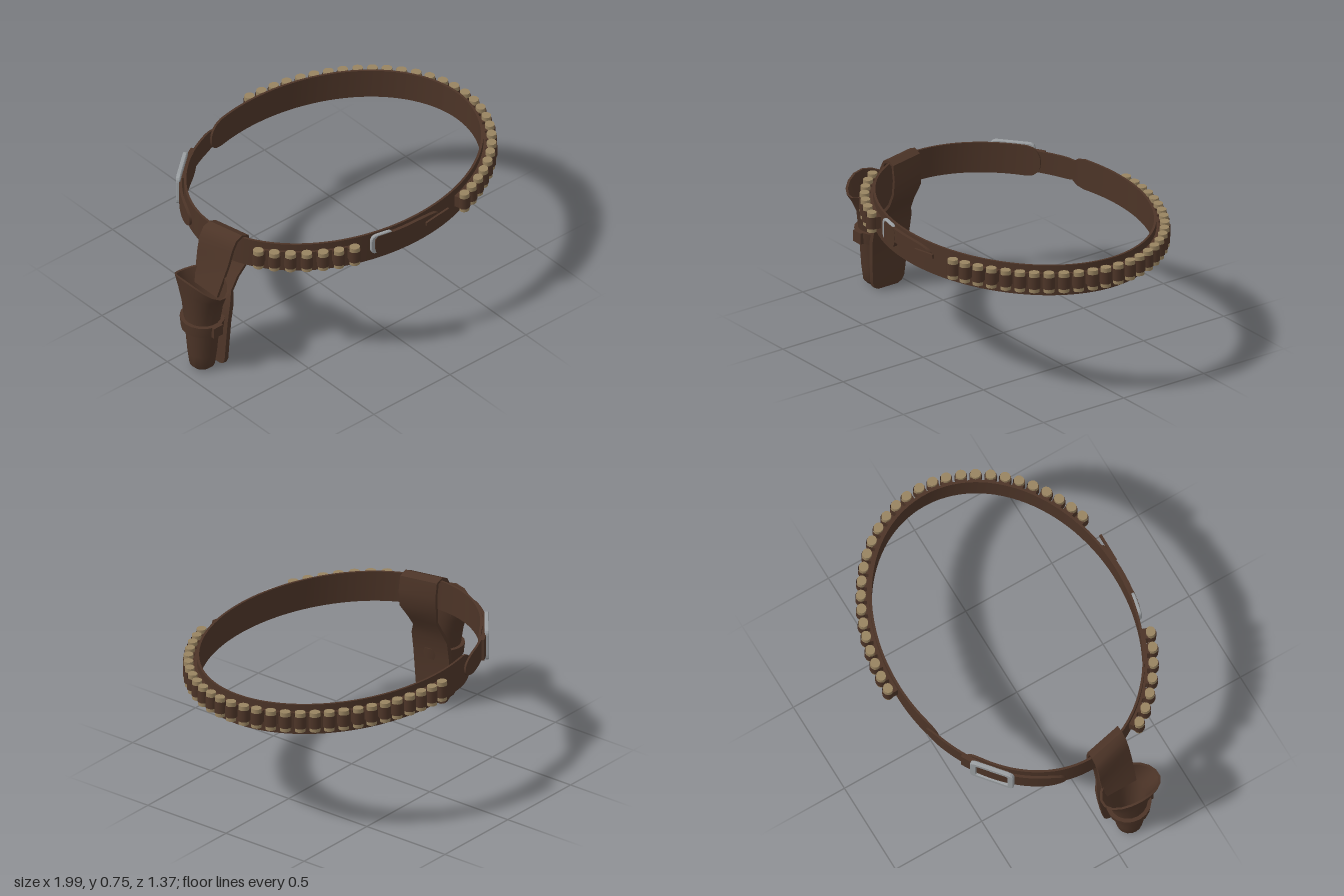
import * as THREE from 'three';
import { toCreasedNormals } from 'three/addons/utils/BufferGeometryUtils.js';

const leather = new THREE.MeshStandardMaterial({ color: 0x4c3427, side: THREE.DoubleSide });
leather.name = 'brown leather';
const brass = new THREE.MeshStandardMaterial({ color: 0x988360 });
brass.name = 'brass';
const silver = new THREE.MeshStandardMaterial({ color: 0x9a9ea1 });
silver.name = 'silver';

// Belt outline: an ellipse around CX
const CX = 0.095, RX = 0.815, RZ = 0.628;
const at = (t, off, y) => new THREE.Vector3(CX + (RX + off) * Math.cos(t), y, (RZ + off) * Math.sin(t));
const facing = t => Math.atan2(Math.cos(t) / RX, Math.sin(t) / RZ);

// Skin a list of closed rings, with optional end caps
function loft(rings, caps = true) {
  const n = rings[0].length, pos = [], idx = [];
  rings.forEach(r => r.forEach(p => pos.push(p.x, p.y, p.z)));
  for (let i = 0; i < rings.length - 1; i++) {
    for (let j = 0; j < n; j++) {
      const a = i * n + j, b = i * n + (j + 1) % n;
      idx.push(a, b, a + n, b, b + n, a + n);
    }
  }
  if (caps) {
    const e = (rings.length - 1) * n;
    for (let j = 1; j < n - 1; j++) idx.push(0, j + 1, j, e, e + j, e + j + 1);
  }
  const g = new THREE.BufferGeometry();
  g.setAttribute('position', new THREE.Float32BufferAttribute(pos, 3));
  g.setIndex(idx);
  return toCreasedNormals(g, 0.7);
}

function add(parent, name, geometry, material) {
  const m = new THREE.Mesh(geometry, material);
  m.name = name;
  parent.add(m);
  return m;
}

// Curved strap on the ellipse; its ends can be rounded off over taper0 / taper1 radians
function strap(t0, t1, y0, y1, in0, out0, taper0 = 0, taper1 = 0, n = 24) {
  const ts = [];
  for (let i = 0; i <= n; i++) ts.push(t0 + (t1 - t0) * i / n);
  [taper0, taper1].forEach((w, k) => {
    for (const f of [0.05, 0.2, 0.5, 1]) if (w) ts.push(k ? t1 - w * f : t0 + w * f);
  });
  ts.sort((a, b) => a - b);
  const mid = (y0 + y1) / 2;
  const round = f => 0.15 + 0.85 * Math.sqrt(Math.max(0, 1 - (1 - f) ** 2));
  return loft(ts.map(t => {
    let s = 1;
    if (taper0) s *= round(Math.min(1, (t - t0) / taper0));
    if (taper1) s *= round(Math.min(1, (t1 - t) / taper1));
    const h = (y1 - y0) / 2 * s;
    return [at(t, in0, mid - h), at(t, out0, mid - h), at(t, out0, mid + h), at(t, in0, mid + h)];
  }));
}

// Angles evenly spaced by distance along the ellipse
function evenAngles(t0, t1, count) {
  const N = 600, len = [0];
  for (let i = 1; i <= N; i++) {
    const a = at(t0 + (t1 - t0) * (i - 1) / N, 0.05, 0), b = at(t0 + (t1 - t0) * i / N, 0.05, 0);
    len.push(len[i - 1] + a.distanceTo(b));
  }
  return Array.from({ length: count }, (_, k) => {
    const i = len.findIndex(l => l >= len[N] * k / (count - 1) - 1e-9);
    return t0 + (t1 - t0) * i / N;
  });
}

// Rounded rectangular buckle frame, centred, facing local +z
function frame(w, h, rim, depth) {
  const rect = (S, a, b, r) => {
    const s = new S();
    s.moveTo(-a + r, -b).lineTo(a - r, -b).quadraticCurveTo(a, -b, a, -b + r)
      .lineTo(a, b - r).quadraticCurveTo(a, b, a - r, b).lineTo(-a + r, b)
      .quadraticCurveTo(-a, b, -a, b - r).lineTo(-a, -b + r).quadraticCurveTo(-a, -b, -a + r, -b);
    return s;
  };
  const s = rect(THREE.Shape, w / 2, h / 2, 0.03);
  s.holes.push(rect(THREE.Path, w / 2 - rim, h / 2 - rim, 0.015));
  return new THREE.ExtrudeGeometry(s, {
    depth, bevelEnabled: true, bevelSize: 0.004, bevelThickness: 0.004, bevelSegments: 1, curveSegments: 4,
  }).translate(0, 0, -depth / 2);
}

// Holster cross-sections: y, centre x, half x, centre z, half z
const SECTIONS = [
  [0.005, -0.882, 0.045, 0.13, 0.045], [0.025, -0.882, 0.064, 0.13, 0.066],
  [0.1, -0.882, 0.073, 0.13, 0.076], [0.28, -0.88, 0.088, 0.128, 0.092],
  [0.4, -0.875, 0.1, 0.125, 0.112], [0.48, -0.88, 0.108, 0.13, 0.14], [0.54, -0.886, 0.114, 0.133, 0.165],
];
function section(y) {
  let i = 0;
  while (i < SECTIONS.length - 2 && SECTIONS[i + 1][0] < y) i++;
  const a = SECTIONS[i], b = SECTIONS[i + 1], f = (y - a[0]) / (b[0] - a[0]);
  return a.map((v, k) => v + (b[k] - v) * f);
}
function ring(y, grow = 0, rise = 0) {
  const [, cx, hx, cz, hz] = section(y);
  return Array.from({ length: 18 }, (_, i) => {
    const a = i / 18 * Math.PI * 2;
    return new THREE.Vector3(cx + (hx + grow) * Math.cos(a),
      y + rise * Math.cos(2 * a) - rise * 0.4 * Math.cos(a), cz + (hz + grow) * Math.sin(a));
  });
}

export function createModel() {
  const model = new THREE.Group();
  model.name = 'gunBelt';

  // Belt with its narrow joining strap, billet and end tab
  const belt = new THREE.Group();
  belt.name = 'belt';
  model.add(belt);
  add(belt, 'mainBelt', strap(-1.96, 4.1, 0.582, 0.744, -0.006, 0.006, 0.12, 0.1, 110), leather);
  add(belt, 'joiningStrap', strap(-2.5, -1.86, 0.605, 0.72, 0.004, 0.016, 0, 0.15), leather);
  add(belt, 'billet', strap(-2.92, -2.16, 0.605, 0.72, 0.016, 0.03, 0.2, 0), leather);

  // Back buckle
  const tb = -2.385;
  const buckle = add(model, 'backBuckle', frame(0.225, 0.168, 0.024, 0.014), silver);
  buckle.position.copy(at(tb, 0.027, 0.66));
  buckle.rotation.y = facing(tb);

  // Front fastening: small buckle, leather keeper and tapering tongue
  const front = new THREE.Group();
  front.name = 'frontFastening';
  model.add(front);
  const tf = 1.835;
  const small = add(front, 'frontBuckle', frame(0.12, 0.105, 0.014, 0.012), silver);
  small.position.copy(at(tf, 0.014, 0.682));
  small.rotation.y = facing(tf);
  add(front, 'keeper', strap(1.74, 1.885, 0.622, 0.73, 0.005, 0.026, 0.03, 0.02, 8), leather);
  add(front, 'tongue', strap(1.4, 1.76, 0.655, 0.725, 0.005, 0.024, 0.2, 0, 12), leather);
  const tip = add(front, 'tongueTip', new THREE.BoxGeometry(0.15, 0.022, 0.012), leather);
  tip.position.copy(at(1.43, 0.034, 0.69));
  tip.rotation.set(0, facing(1.43) - 0.1, 0.12);

  // Cartridges in leather loops
  const shell = new THREE.CylinderGeometry(0.0245, 0.0245, 0.105, 12);
  const loop = new THREE.CylinderGeometry(0.0285, 0.0285, 0.064, 12, 1, true);
  const web = new THREE.BoxGeometry(0.05, 0.064, 0.03);
  for (const [t0, t1, count] of [[-1.54, 1.19, 29], [2.03, 2.66, 7]]) {
    const row = new THREE.Group();
    row.name = 'cartridgeRow';
    model.add(row);
    for (const t of evenAngles(t0, t1, count)) {
      const c = new THREE.Group();
      c.name = 'cartridge';
      c.position.copy(at(t, 0.048, 0.673));
      c.rotation.y = facing(t);
      c.scale.x = 1.1;
      add(c, 'shell', shell, brass);
      add(c, 'loop', loop, leather);
      add(c, 'loopBase', web, leather).position.z = -0.03;
      row.add(c);
    }
    add(row, 'loopBacking', strap(t0 - 0.03, t1 + 0.03, 0.641, 0.705, 0.004, 0.018, 0, 0, 50), leather);
  }

  // Holster pouch, open at both ends, with a flared wavy mouth
  const holster = new THREE.Group();
  holster.name = 'holster';
  model.add(holster);
  const rings = SECTIONS.map(([y], i) => ring(y, 0, i === 6 ? 0.03 : i === 5 ? 0.012 : 0));
  rings.push(ring(0.54, -0.012, 0.03), ring(0.4, -0.015), ring(0.1, -0.02), ring(0.005, -0.004));
  add(holster, 'pouch', loft(rings, false), leather);
  add(holster, 'pouchBand', loft([ring(0.25), ring(0.25, 0.02), ring(0.31, 0.02), ring(0.31)], false), leather);
  add(holster, 'bandKnot', new THREE.BoxGeometry(0.06, 0.06, 0.03), leather).position.set(-0.88, 0.28, 0.238);

  // Hanger: over the belt, down the inside, then a broad backing plate
  // x, y, half width, centre z, skew along the belt
  const path = [
    [-0.835, 0.44, 0.085, 0.11, 0], [-0.81, 0.52, 0.095, 0.105, 0.05], [-0.785, 0.61, 0.1, 0.105, 0.15],
    [-0.765, 0.69, 0.1, 0.105, 0.22], [-0.74, 0.735, 0.1, 0.105, 0.22], [-0.705, 0.75, 0.1, 0.105, 0.22],
    [-0.67, 0.738, 0.1, 0.105, 0.22], [-0.658, 0.66, 0.1, 0.105, 0.22], [-0.665, 0.58, 0.1, 0.105, 0.2],
    [-0.705, 0.5, 0.082, 0.108, 0.1], [-0.745, 0.44, 0.09, 0.11, 0], [-0.772, 0.38, 0.113, 0.115, 0],
    [-0.79, 0.28, 0.114, 0.117, 0], [-0.797, 0.15, 0.106, 0.12, 0], [-0.8, 0.05, 0.097, 0.123, 0],
    [-0.802, 0.025, 0.085, 0.125, 0], [-0.803, 0.013, 0.06, 0.125, 0],
  ];
  const hanger = path.map(([x, y, w, cz, skew], i) => {
    const a = path[Math.max(0, i - 1)], b = path[Math.min(path.length - 1, i + 1)];
    const dx = b[0] - a[0], dy = b[1] - a[1], l = Math.hypot(dx, dy), h = i > 10 ? 0.012 : 0.008;
    const p = (s, k) => new THREE.Vector3(x + s * skew * w - k * h * dy / l, y + k * h * dx / l, cz + s * w);
    return [p(-1, -1), p(1, -1), p(1, 1), p(-1, 1)];
  });
  add(holster, 'hanger', loft(hanger), leather);

  return model;
}
